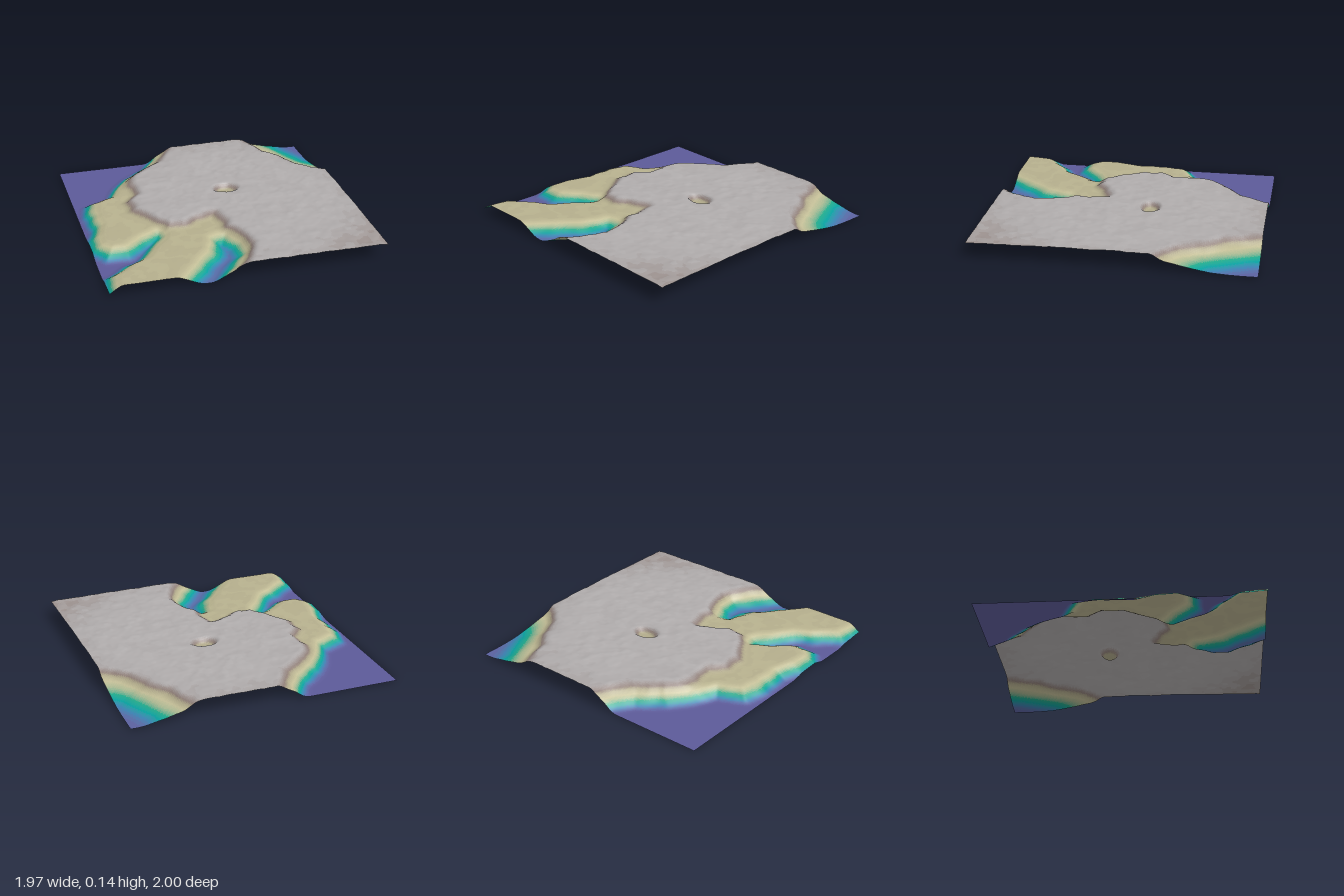
import * as THREE from 'three';

const step = THREE.MathUtils.smoothstep;
const lerp = THREE.MathUtils.lerp;

// Shore and cliff outlines, as [x, z] points
const ocean = [[-0.2, -1.03], [-0.33, -0.82], [-0.5, -0.69], [-0.62, -0.53], [-0.69, -0.37], [-0.87, -0.3],
  [-0.91, -0.13], [-0.89, 0.08], [-0.95, 0.24], [-0.96, 0.4], [-0.89, 0.5], [-0.76, 0.5], [-0.66, 0.44],
  [-0.5, 0.31], [-0.49, 0.35], [-0.56, 0.46], [-0.66, 0.6], [-0.82, 0.71], [-0.94, 0.81], [-0.97, 0.93],
  [-0.98, 1.1], [-1.4, 1.1], [-1.4, -1.4], [0, -1.4]];
const southInlet = [[-0.45, 1.04], [-0.29, 0.82], [-0.16, 0.67], [-0.12, 0.51], [-0.05, 0.5], [0, 0.61],
  [0, 0.75], [-0.11, 0.89], [-0.21, 1.03], [-0.35, 1.4], [-0.7, 1.4]];
const northEastBay = [[0.68, -1.05], [0.78, -0.85], [0.87, -0.62], [1, -0.5], [1.4, -0.4], [1.4, -1.4], [0.68, -1.4]];
const plateau = [[-0.1, -1.3], [-0.12, -1], [-0.24, -0.79], [-0.4, -0.68], [-0.52, -0.55], [-0.55, -0.4],
  [-0.53, -0.26], [-0.63, -0.15], [-0.61, 0], [-0.52, 0.14], [-0.42, 0.29], [-0.29, 0.31], [-0.15, 0.24],
  [-0.05, 0.2], [-0.02, 0.32], [-0.03, 0.45], [0.05, 0.53], [0.08, 0.72], [0, 0.88], [-0.08, 1], [-0.1, 1.3],
  [1.3, 1.3], [1.3, -0.2], [0.98, -0.32], [0.85, -0.45], [0.77, -0.63], [0.64, -0.76], [0.58, -1], [0.55, -1.3]];

// Signed distance to an outline, positive inside
function inside(poly, x, z) {
  let d = Infinity, isIn = false;
  poly.forEach(([ax, az], i) => {
    const [bx, bz] = poly[(i + 1) % poly.length];
    const ex = bx - ax, ez = bz - az;
    const t = THREE.MathUtils.clamp(((x - ax) * ex + (z - az) * ez) / (ex * ex + ez * ez), 0, 1);
    d = Math.min(d, Math.hypot(x - ax - ex * t, z - az - ez * t));
    if ((az > z) !== (bz > z) && x < ax + (z - az) * ex / ez) isIn = !isIn;
  });
  return isIn ? d : -d;
}

// Smooth repeatable noise in -1..1
function hash(i, j) {
  const s = Math.sin(i * 127.1 + j * 311.7) * 43758.5453;
  return (s - Math.floor(s)) * 2 - 1;
}
function noise(x, z) {
  const i = Math.floor(x), j = Math.floor(z);
  const u = step(x - i, 0, 1), v = step(z - j, 0, 1);
  return lerp(lerp(hash(i, j), hash(i + 1, j), u), lerp(hash(i, j + 1), hash(i + 1, j + 1), u), v);
}

function heightAt(x, z) {
  // Slightly ragged outlines
  const px = x + 0.012 * noise(x * 11, z * 11), pz = z + 0.012 * noise(x * 11 + 40, z * 11);
  // Sandy lowland rising to the rocky plateau
  const rock = step(inside(plateau, px, pz), -0.05, 0.07);
  const top = 0.134 - 0.014 * step(Math.hypot(x - 0.15, z * 0.9), 0.6, 1.2);
  let h = lerp(0.084, top, rock);
  h += (0.0035 * noise(x * 15, z * 15) + 0.002 * noise(x * 28 + 9, z * 28)) * (0.25 + 0.75 * rock);
  // Small pit in the plateau
  h -= 0.042 * (1 - step(Math.hypot((x - 0.145) / 0.12, (z + 0.155) / 0.085), 0.4, 1));
  // Slopes down to the water floors
  for (const [poly, width, floor] of [[ocean, 0.09, 0], [southInlet, 0.1, 0.008], [northEastBay, 0.22, 0.006]]) {
    h = lerp(h, floor, step(inside(poly, px, pz), -width, width));
  }
  return Math.max(0, h);
}

// Colours by height
const ramp = [[0, 0x5c5a98], [0.008, 0x5a64a2], [0.018, 0x3a80b0], [0.03, 0x089f9e], [0.042, 0x20a88a],
  [0.058, 0xa8b690], [0.07, 0xc2bd96], [0.092, 0xaea788], [0.105, 0x8d7c75], [0.117, 0x9a8f8c],
  [0.128, 0xaca8a8], [0.15, 0xb8b5b5]];
function colourAt(h) {
  const k = Math.max(1, ramp.findIndex(([level]) => level >= h));
  const [h0, c0] = ramp[k - 1], [h1, c1] = ramp[k];
  return new THREE.Color(c0).lerp(new THREE.Color(c1), (h - h0) / (h1 - h0));
}
function zoneName(h) {
  if (h < 0.004) return 'seabed';
  if (h < 0.05) return 'shallows';
  if (h < 0.096) return 'sand';
  return h < 0.12 ? 'cliff' : 'plateauTop';
}

export function createModel() {
  const group = new THREE.Group();
  group.name = 'terrain';

  // Displaced grid with smooth normals
  const land = new THREE.PlaneGeometry(1.97, 2, 170, 170).rotateX(-Math.PI / 2);
  const pos = land.attributes.position;
  for (let i = 0; i < pos.count; i++) pos.setY(i, heightAt(pos.getX(i), pos.getZ(i)));
  land.computeVertexNormals();

  // Sort the triangles into height bands
  const bandHeight = 0.004, bands = new Map();
  const index = land.index.array;
  for (let i = 0; i < index.length; i += 3) {
    const tri = [index[i], index[i + 1], index[i + 2]];
    const mean = tri.reduce((sum, v) => sum + pos.getY(v), 0) / 3;
    const band = Math.min(36, Math.floor(mean / bandHeight));
    if (!bands.has(band)) bands.set(band, []);
    bands.get(band).push(...tri);
  }

  // One mesh per band, sharing the vertices
  for (const [band, tris] of [...bands].sort((a, b) => a[0] - b[0])) {
    const geometry = new THREE.BufferGeometry();
    geometry.setAttribute('position', pos);
    geometry.setAttribute('normal', land.attributes.normal);
    geometry.setIndex(tris);
    const h = band === 0 ? 0 : (band + 0.5) * bandHeight;
    const material = new THREE.MeshStandardMaterial({ color: colourAt(h), side: THREE.DoubleSide });
    const mesh = new THREE.Mesh(geometry, material);
    mesh.name = `${zoneName(h)}Band${band}`;
    group.add(mesh);
  }
  return group;
}
